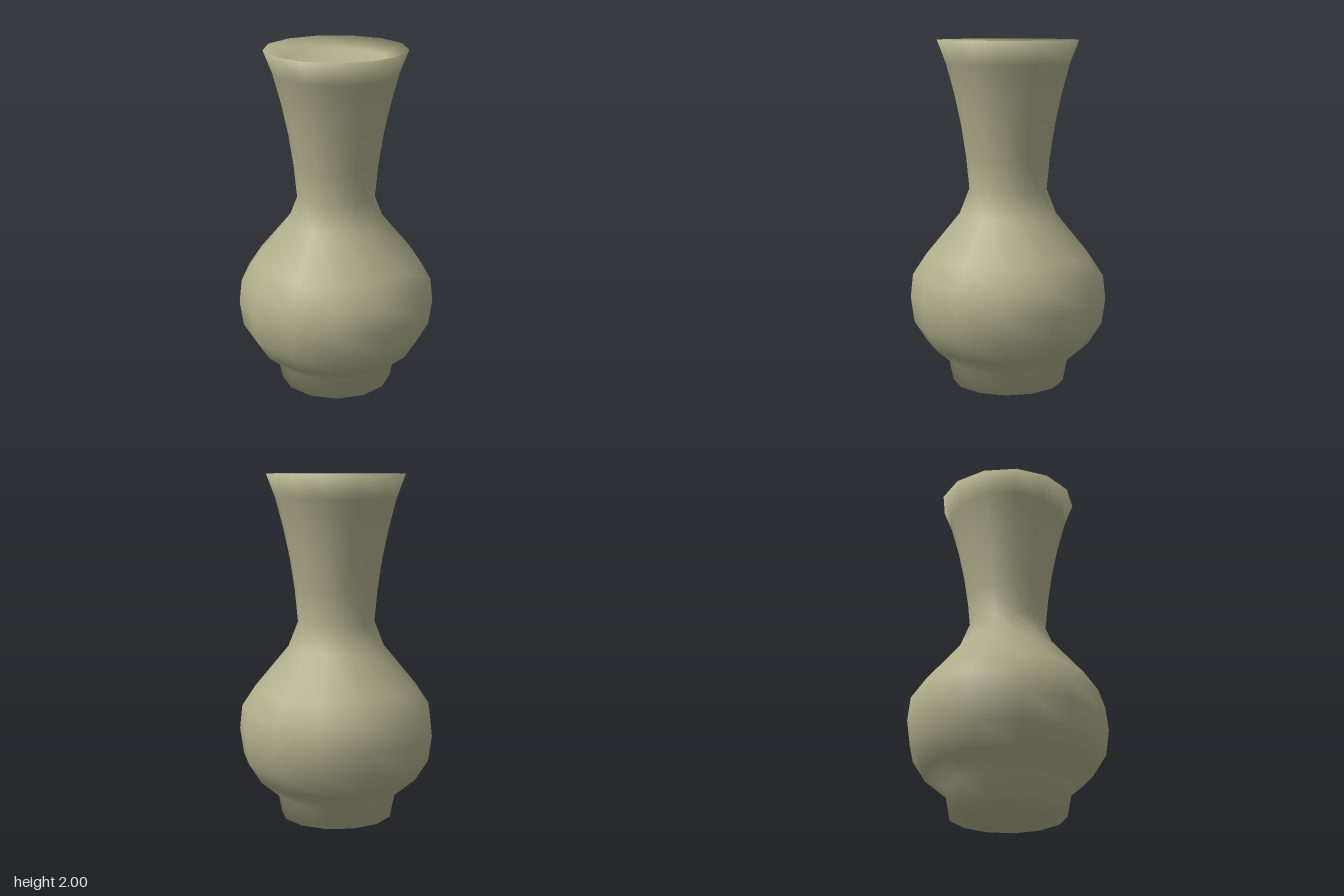
import * as THREE from 'three';

export function createModel() {
  const group = new THREE.Group();
  group.name = 'vase';

  // [radius, height] from the underside, up the outside, over the rim and down
  const profile = [
    // domed underside
    [0, 0], [0.17, 0.015],
    // foot
    [0.32, 0.05], [0.345, 0.18],
    // round belly
    [0.465, 0.28], [0.54, 0.4], [0.56, 0.545], [0.545, 0.68], [0.465, 0.8],
    // shoulder and flared neck
    [0.275, 1.03], [0.22, 1.17], [0.237, 1.35], [0.264, 1.53], [0.3, 1.7],
    [0.345, 1.87], [0.395, 2],
    // shallow dished mouth
    [0.29, 1.945], [0.15, 1.915], [0, 1.907],
  ].map(([r, y]) => new THREE.Vector2(r, y));

  // thirteen sides, with one corner on +x
  const body = new THREE.Mesh(
    new THREE.LatheGeometry(profile, 13, Math.PI / 2),
    new THREE.MeshStandardMaterial({ color: 0xb0ae8a })
  );
  body.name = 'vaseBody';
  // an odd number of sides puts the axis slightly off the middle
  body.position.x = -0.009;
  group.add(body);
  return group;
}
